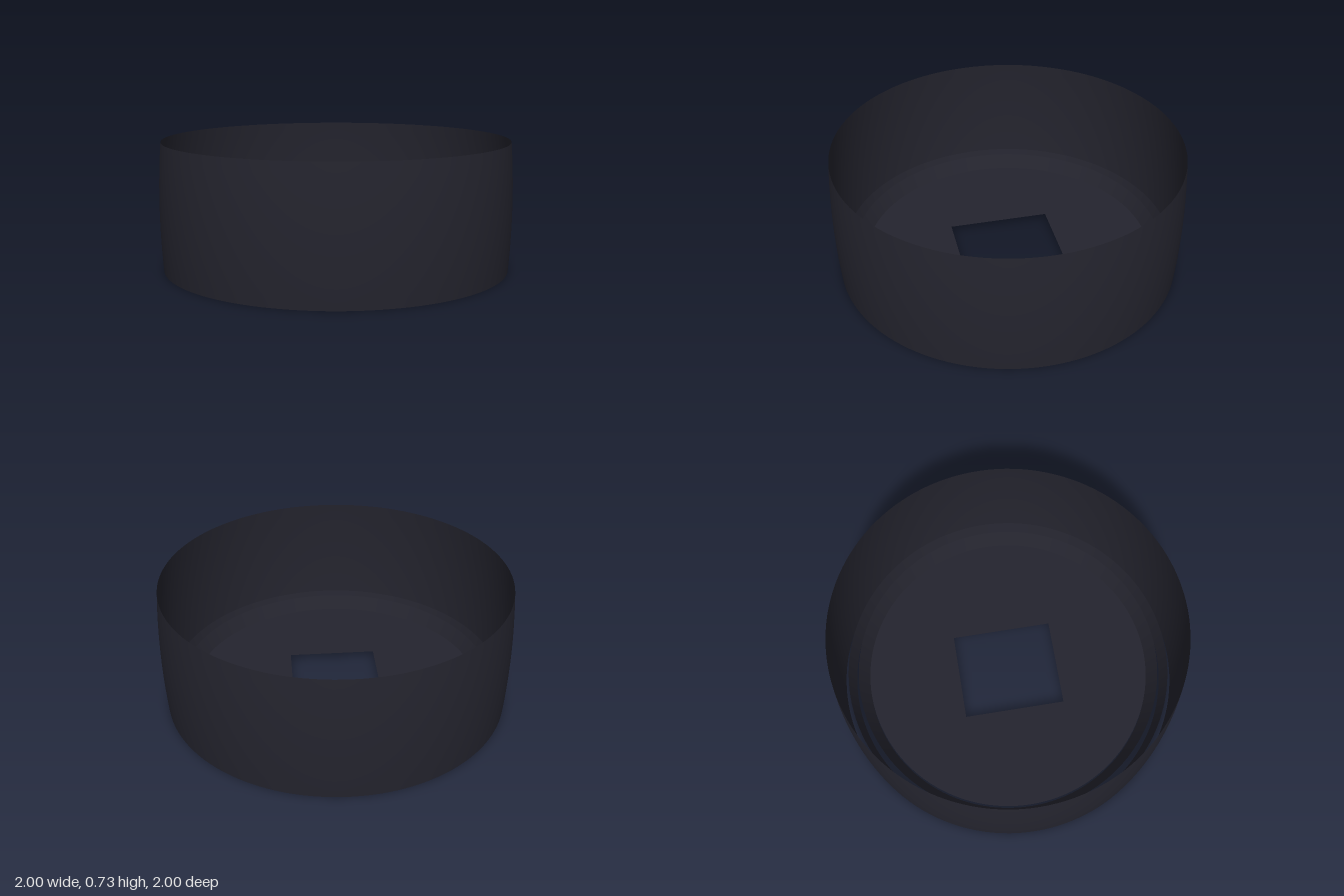
import * as THREE from 'three';

export function createModel() {
  const model = new THREE.Group();
  const charcoal = new THREE.MeshStandardMaterial({ color: 0x24242e, side: THREE.DoubleSide });
  charcoal.name = 'charcoal';

  const add = (name, geometry) => {
    const mesh = new THREE.Mesh(geometry, charcoal);
    mesh.name = name;
    model.add(mesh);
    return mesh;
  };
  const revolve = (name, points) =>
    add(name, new THREE.LatheGeometry(points.map(([r, y]) => new THREE.Vector2(r, y)), 128));

  // Outer wall: an open band, slightly barrel-shaped
  const height = 0.727;
  const wall = [];
  for (let i = 0; i <= 12; i++) {
    const t = i / 12;
    wall.push([0.985 + 0.015 * (1 - (2 * t - 1) ** 2), t * height]);
  }
  revolve('outerWall', wall);

  // Two flared rings nested inside the bottom of the wall
  revolve('outerRing', [[0.92, 0], [0.955, 0.113]]);
  revolve('innerRing', [[0.838, 0], [0.895, 0.11]]);

  // Thin floor disc with a rectangular opening
  const disc = new THREE.Shape().absarc(0, 0, 0.835, 0, Math.PI * 2);
  const w = 0.255, d = 0.295;
  disc.holes.push(new THREE.Path([
    new THREE.Vector2(-w, -d), new THREE.Vector2(-w, d),
    new THREE.Vector2(w, d), new THREE.Vector2(w, -d),
  ]));
  const floor = add('floorDisc', new THREE.ShapeGeometry(disc, 64));
  floor.rotation.x = -Math.PI / 2;
  floor.position.y = 0.04;

  return model;
}
